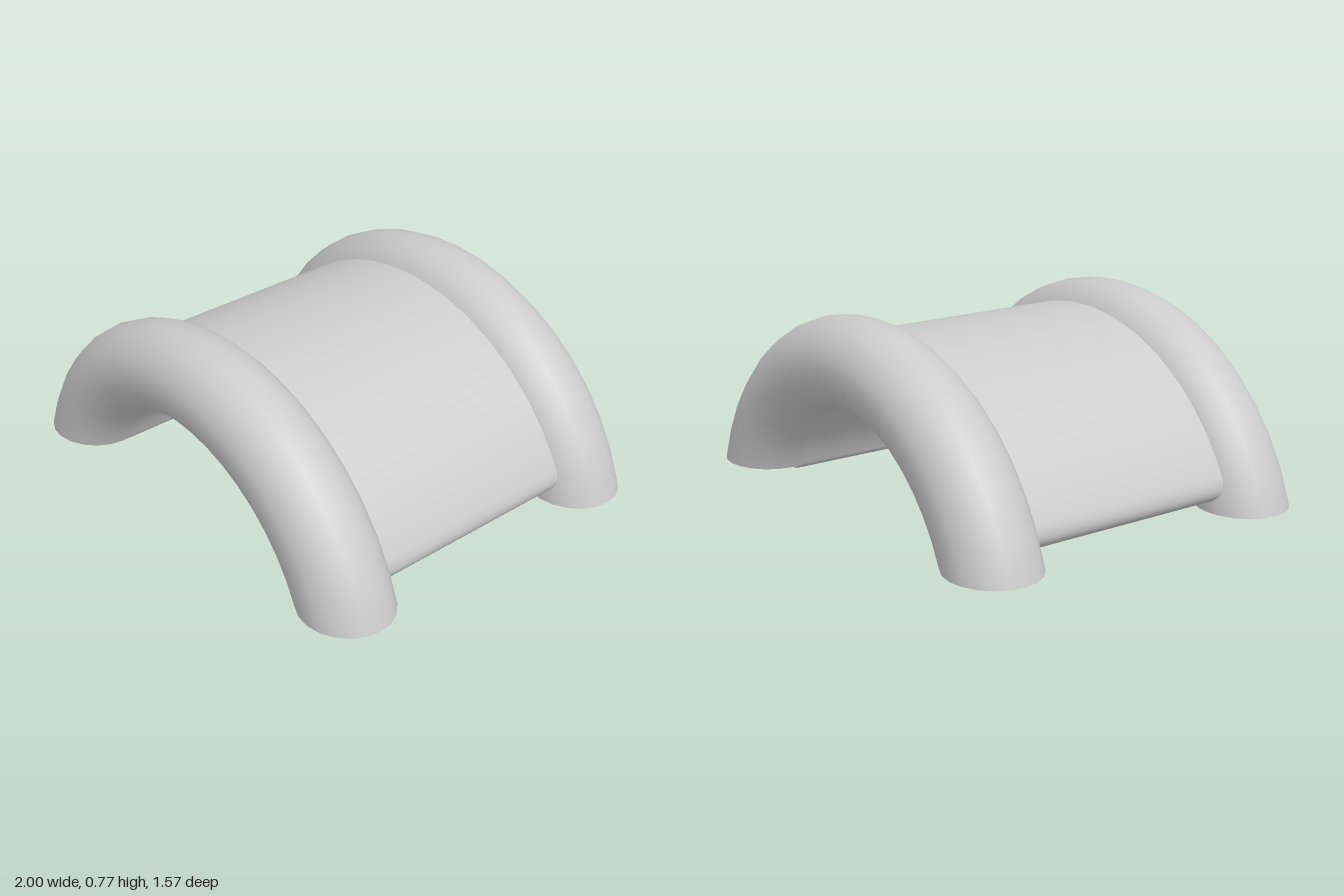
import * as THREE from 'three';
import { ParametricGeometry } from 'three/addons/geometries/ParametricGeometry.js';
import { toCreasedNormals } from 'three/addons/utils/BufferGeometryUtils.js';

const CENTRE_Y = -0.27; // height of the arch centre
const FOOT_Y = 0.02;    // level where the end tubes are cut flat
const ARCH_R = 0.86;
const TUBE_R = 0.183;

// Point on an arched tube: t along the arch, phi around it, s = share of tube radius
function archPoint(t, phi, s, target) {
  const r = ARCH_R + TUBE_R * s * Math.cos(phi);
  const start = Math.asin((FOOT_Y - CENTRE_Y) / r);
  const a = start + t * (Math.PI - 2 * start);
  target.set(r * Math.cos(a), CENTRE_Y + r * Math.sin(a), TUBE_R * s * Math.sin(phi));
}

export function createModel() {
  const group = new THREE.Group();
  const material = new THREE.MeshStandardMaterial({ color: 0xcccccc });
  const add = (parent, name, geometry) => {
    const mesh = new THREE.Mesh(geometry, material);
    mesh.name = name;
    parent.add(mesh);
  };
  const TAU = Math.PI * 2;

  // Two arched end tubes with flat feet
  const tube = new ParametricGeometry((u, v, p) => archPoint(u, v * TAU, 1, p), 18, 20);
  const feet = [0, 1].map((end) => {
    const dir = end ? -TAU : TAU;
    const foot = new ParametricGeometry((u, v, p) => archPoint(end, v * dir, u, p), 1, 20);
    foot.computeVertexNormals();
    return foot;
  });
  for (const [name, z] of [['frontArch', 0.602], ['backArch', -0.602]]) {
    const arch = new THREE.Group();
    arch.name = name;
    arch.position.z = z;
    add(arch, 'archTube', tube);
    add(arch, 'leftFoot', feet[0]);
    add(arch, 'rightFoot', feet[1]);
    group.add(arch);
  }

  // Thick curved panel between the tubes, with rounded lower edges
  const outer = 0.96, inner = 0.683, end = 0.386;
  const outerStart = end + 0.085, innerStart = end + 0.07;
  const at = (r, a) => [r * Math.cos(a), CENTRE_Y + r * Math.sin(a)];
  const shape = new THREE.Shape();
  shape.moveTo(...at(outer, outerStart));
  shape.absarc(0, CENTRE_Y, outer, outerStart, Math.PI - outerStart, false);
  shape.quadraticCurveTo(...at(outer, Math.PI - end), ...at(outer - 0.08, Math.PI - end));
  shape.lineTo(...at(inner + 0.045, Math.PI - end));
  shape.quadraticCurveTo(...at(inner, Math.PI - end), ...at(inner, Math.PI - innerStart));
  shape.absarc(0, CENTRE_Y, inner, Math.PI - innerStart, innerStart, true);
  shape.quadraticCurveTo(...at(inner, end), ...at(inner + 0.045, end));
  shape.lineTo(...at(outer - 0.08, end));
  shape.quadraticCurveTo(...at(outer, end), ...at(outer, outerStart));

  const depth = 1.14;
  const panel = new THREE.ExtrudeGeometry(shape, { depth, bevelEnabled: false, curveSegments: 24 });
  panel.translate(0, 0, -depth / 2);
  add(group, 'curvedPanel', toCreasedNormals(panel, 0.7));

  return group;
}
